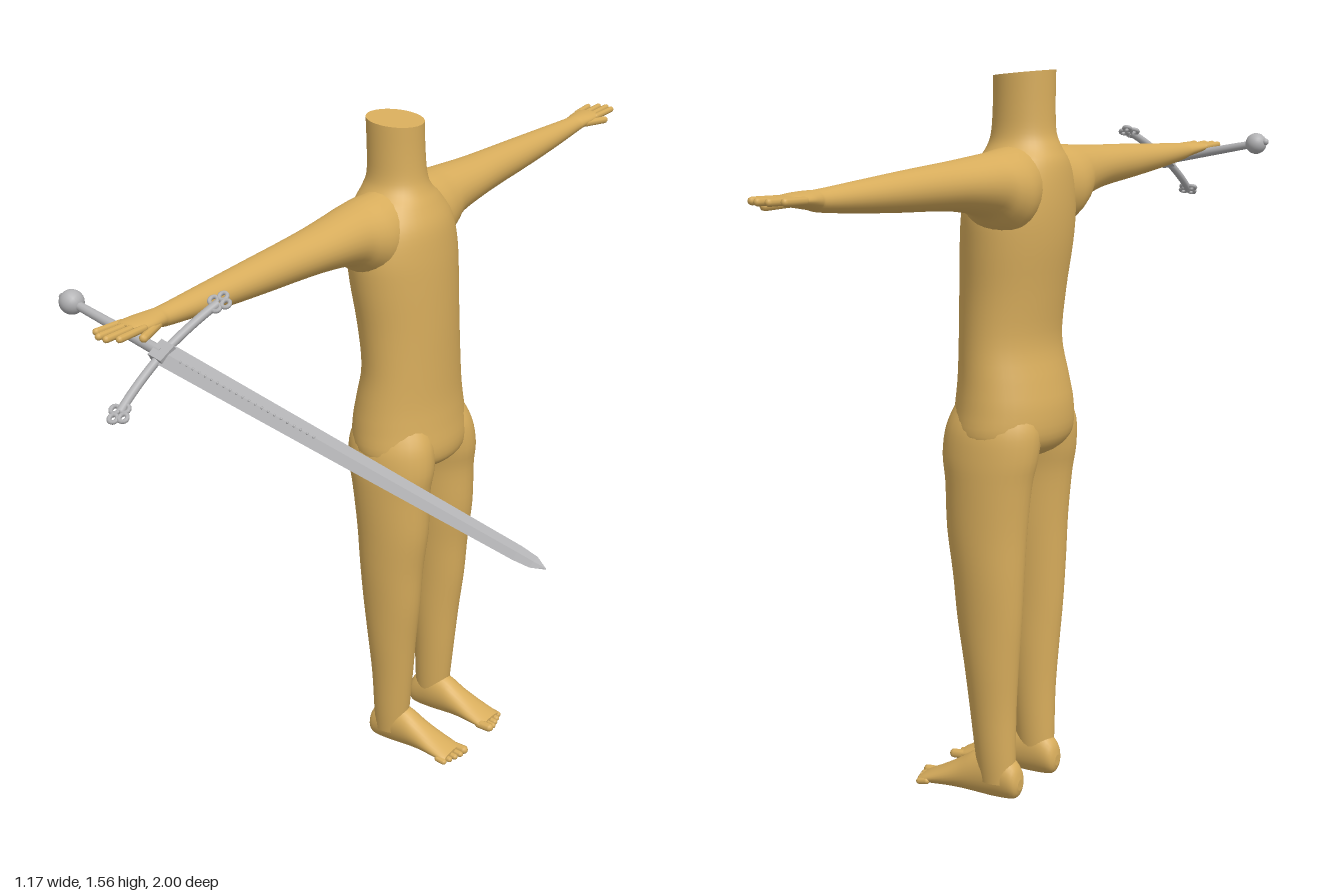
import * as THREE from 'three';

const skin = new THREE.MeshStandardMaterial({ color: 0xd8ad5c });
skin.name = 'tan skin';
const steel = new THREE.MeshStandardMaterial({ color: 0xb2b2b4 });
steel.name = 'steel';

const MID = -0.036; // z of the body's own centre plane

// Where the section axes (a, b, t) land, keeping them right-handed
const place = {
  x: (a, b, t) => [t, a, b],
  y: (a, b, t) => [b, t, a],
  z: (a, b, t) => [a, b, t],
};

function spline(p0, p1, p2, p3, u) {
  return p1.map((v, k) => {
    const m1 = (p2[k] - p0[k]) / 2, m2 = (p3[k] - v) / 2, d = p2[k] - v;
    return v + m1 * u + (3 * d - 2 * m1 - m2) * u * u + (m1 + m2 - 2 * d) * u * u * u;
  });
}

// Skin oval sections [t, centreA, centreB, radiusA, radiusB] along an axis, with flat end caps
function loft(axis, sections, sides = 28, steps = 4) {
  const s = [...sections].sort((p, q) => p[0] - q[0]);
  const rings = [];
  for (let i = 0; i < s.length - 1; i++) {
    for (let j = 0; j < steps; j++) {
      rings.push(spline(s[Math.max(i - 1, 0)], s[i], s[i + 1], s[Math.min(i + 2, s.length - 1)], j / steps));
    }
  }
  rings.push(s[s.length - 1]);
  const pos = [], index = [];
  const addRing = ([t, ca, cb, ra, rb]) => {
    for (let k = 0; k < sides; k++) {
      const w = (k / sides) * Math.PI * 2;
      pos.push(...place[axis](ca + ra * Math.cos(w), cb + rb * Math.sin(w), t));
    }
  };
  rings.forEach(addRing);
  for (let i = 0; i < rings.length - 1; i++) {
    for (let k = 0; k < sides; k++) {
      const a = i * sides + k, b = i * sides + (k + 1) % sides;
      index.push(a, b, a + sides, b, b + sides, a + sides);
    }
  }
  [rings[0], rings[rings.length - 1]].forEach((r, end) => {
    const base = pos.length / 3;
    addRing(r);
    pos.push(...place[axis](r[1], r[2], r[0]));
    for (let k = 0; k < sides; k++) {
      const a = base + k, b = base + (k + 1) % sides, c = base + sides;
      if (end) index.push(a, b, c); else index.push(b, a, c);
    }
  });
  const g = new THREE.BufferGeometry();
  g.setAttribute('position', new THREE.Float32BufferAttribute(pos, 3));
  g.setIndex(index);
  g.computeVertexNormals();
  return g;
}

function add(parent, name, geometry, material) {
  const m = new THREE.Mesh(geometry, material);
  m.name = name;
  parent.add(m);
  return m;
}

// Rounded rod between two points, for fingers and toes
function digit(parent, name, from, to, r) {
  const a = new THREE.Vector3(...from), b = new THREE.Vector3(...to), d = b.clone().sub(a);
  const m = add(parent, name, new THREE.CapsuleGeometry(r, Math.max(d.length() - 2 * r, 0.001), 4, 8), skin);
  m.position.copy(a).add(b).multiplyScalar(0.5);
  m.quaternion.setFromUnitVectors(new THREE.Vector3(0, 1, 0), d.normalize());
}

function torso(body) {
  // y, back x, front x, half width
  const profile = [
    [0.745, -0.40, -0.32, 0.05], [0.765, -0.455, -0.262, 0.125], [0.80, -0.484, -0.247, 0.160],
    [0.86, -0.486, -0.252, 0.156], [0.92, -0.474, -0.257, 0.148], [1.0, -0.457, -0.258, 0.140],
    [1.1, -0.465, -0.258, 0.141], [1.2, -0.478, -0.260, 0.150], [1.27, -0.482, -0.264, 0.153],
    [1.33, -0.480, -0.272, 0.140], [1.375, -0.474, -0.290, 0.110], [1.405, -0.462, -0.305, 0.078],
    [1.435, -0.451, -0.313, 0.065], [1.49, -0.448, -0.316, 0.062], [1.557, -0.448, -0.316, 0.062],
  ];
  const g = loft('y', profile.map(([y, b, f, w]) => [y, MID, (b + f) / 2, w, (f - b) / 2]), 40);
  const p = g.attributes.position;
  for (let i = 0; i < p.count; i++) { // neck cut leans down to the front
    if (p.getY(i) > 1.52) p.setY(i, p.getY(i) - 0.1 * (p.getX(i) + 0.382));
  }
  g.computeVertexNormals();
  add(body, 'torsoAndNeck', g, skin);
}

function arm(body, s, side) {
  // distance from the centre plane, x, y, half depth, half height
  const shape = [
    [0.05, -0.385, 1.325, 0.075, 0.085], [0.11, -0.39, 1.318, 0.084, 0.088], [0.155, -0.392, 1.325, 0.078, 0.077],
    [0.20, -0.39, 1.337, 0.068, 0.062], [0.30, -0.386, 1.343, 0.058, 0.050], [0.40, -0.386, 1.345, 0.049, 0.044],
    [0.50, -0.387, 1.346, 0.043, 0.039], [0.65, -0.389, 1.348, 0.034, 0.030], [0.78, -0.391, 1.351, 0.025, 0.021],
    [0.81, -0.391, 1.354, 0.027, 0.018], [0.845, -0.392, 1.357, 0.033, 0.015], [0.88, -0.394, 1.359, 0.033, 0.011],
    [0.89, -0.394, 1.359, 0.028, 0.006],
  ];
  add(body, side + 'Arm', loft('z', shape.map(([d, ...r]) => [MID + s * d, ...r])), skin);
  [0.945, 0.962, 0.965, 0.952].forEach((tip, i) => {
    const x = -0.421 + i * 0.0185;
    digit(body, side + 'Finger', [x, 1.359, MID + s * 0.865], [x + (i - 1.5) * 0.003, 1.362, MID + s * tip], 0.0075);
  });
  digit(body, side + 'Thumb', [-0.372, 1.352, MID + s * 0.82], [-0.348, 1.348, MID + s * 0.90], 0.009);
}

function leg(body, s, side) {
  // y, back x, front x, inner and outer distance from the centre plane
  const shape = [
    [0.04, -0.428, -0.345, 0.057, 0.125], [0.10, -0.428, -0.337, 0.052, 0.131], [0.20, -0.428, -0.324, 0.047, 0.138],
    [0.30, -0.433, -0.311, 0.043, 0.147], [0.40, -0.440, -0.295, 0.040, 0.154], [0.50, -0.444, -0.284, 0.034, 0.161],
    [0.60, -0.448, -0.268, 0.026, 0.165], [0.70, -0.457, -0.262, 0.021, 0.167], [0.76, -0.468, -0.252, 0.012, 0.166],
    [0.82, -0.470, -0.256, 0.004, 0.158], [0.87, -0.455, -0.275, 0.010, 0.135],
  ];
  add(body, side + 'Leg', loft('y', shape.map(([y, b, f, n, o]) =>
    [y, MID + s * (n + o) / 2, (b + f) / 2, (o - n) / 2, (f - b) / 2])), skin);

  // x, bottom y, top y, half width
  const foot = [
    [-0.443, 0.025, 0.05, 0.012], [-0.432, 0.006, 0.082, 0.028], [-0.39, 0.001, 0.115, 0.034],
    [-0.34, 0.002, 0.102, 0.035], [-0.30, 0.004, 0.076, 0.036], [-0.26, 0.004, 0.052, 0.039],
    [-0.222, 0.003, 0.032, 0.040], [-0.208, 0.005, 0.024, 0.037],
  ];
  const z = MID + s * 0.088;
  add(body, side + 'Foot', loft('x', foot.map(([x, b, t, w]) => [x, (b + t) / 2, z, (t - b) / 2, w])), skin);
  [-0.184, -0.187, -0.192, -0.197, -0.203].forEach((tip, i) => {
    const r = i ? 0.0075 : 0.011, tz = z + s * (-0.029 + i * 0.0165);
    digit(body, side + 'Toe', [-0.235, 0.016, tz], [tip, r + 0.002, tz], r);
  });
}

// Sword: pommel at the origin, blade along +x, guard along y
function sword() {
  const g = new THREE.Group();
  g.name = 'sword';
  add(g, 'pommel', new THREE.SphereGeometry(0.025, 20, 14), steel);
  add(g, 'pommelCap', new THREE.SphereGeometry(0.008, 10, 8), steel).position.x = -0.025;
  const grip = new THREE.CylinderGeometry(0.012, 0.009, 0.235, 12).rotateZ(-Math.PI / 2);
  add(g, 'grip', grip, steel).position.x = 0.13;
  add(g, 'guardBlock', new THREE.BoxGeometry(0.034, 0.04, 0.022), steel).position.x = 0.25;

  const blade = loft('x', [[0.25, 0, 0, 0.025, 0.006], [0.7, 0, 0, 0.020, 0.005],
    [1.1, 0, 0, 0.015, 0.004], [1.135, 0, 0, 0.012, 0.003], [1.161, 0, 0, 0.001, 0.001]], 4, 1).toNonIndexed();
  blade.computeVertexNormals();
  add(g, 'blade', blade, steel);
  for (const f of [-1, 1]) { // studs along the middle of each face
    for (let i = 0; i < 22; i++) {
      const stud = add(g, 'bladeStud', new THREE.SphereGeometry(0.003, 6, 4), steel);
      stud.position.set(0.30 + i * 0.016, 0, f * 0.005);
    }
  }
  for (const s of [-1, 1]) {
    const path = new THREE.QuadraticBezierCurve3(new THREE.Vector3(0.25, 0, 0),
      new THREE.Vector3(0.253, s * 0.08, 0), new THREE.Vector3(0.268, s * 0.142, 0));
    add(g, 'guardArm', new THREE.TubeGeometry(path, 12, 0.009, 10), steel);
    for (let k = 0; k < 4; k++) { // four-lobed end
      const w = k * Math.PI / 2 + 0.2 * s;
      const lobe = add(g, 'guardLobe', new THREE.TorusGeometry(0.0085, 0.0045, 8, 12), steel);
      lobe.position.set(0.269 + 0.014 * Math.cos(w), s * 0.146 + 0.014 * Math.sin(w), 0);
    }
  }
  const pommel = new THREE.Vector3(-0.556, 1.372, 0.825);
  const along = new THREE.Vector3(0.577, 1.148, 0.937).sub(pommel).normalize();
  const across = new THREE.Vector3(0.064, 0.165, -0.263);
  across.addScaledVector(along, -across.dot(along)).normalize();
  g.quaternion.setFromRotationMatrix(new THREE.Matrix4().makeBasis(along, across, along.clone().cross(across)));
  g.position.copy(pommel);
  return g;
}

export function createModel() {
  const model = new THREE.Group();
  const body = new THREE.Group();
  body.name = 'body';
  torso(body);
  for (const [s, side] of [[1, 'right'], [-1, 'left']]) {
    arm(body, s, side);
    leg(body, s, side);
  }
  model.add(body, sword());
  return model;
}
